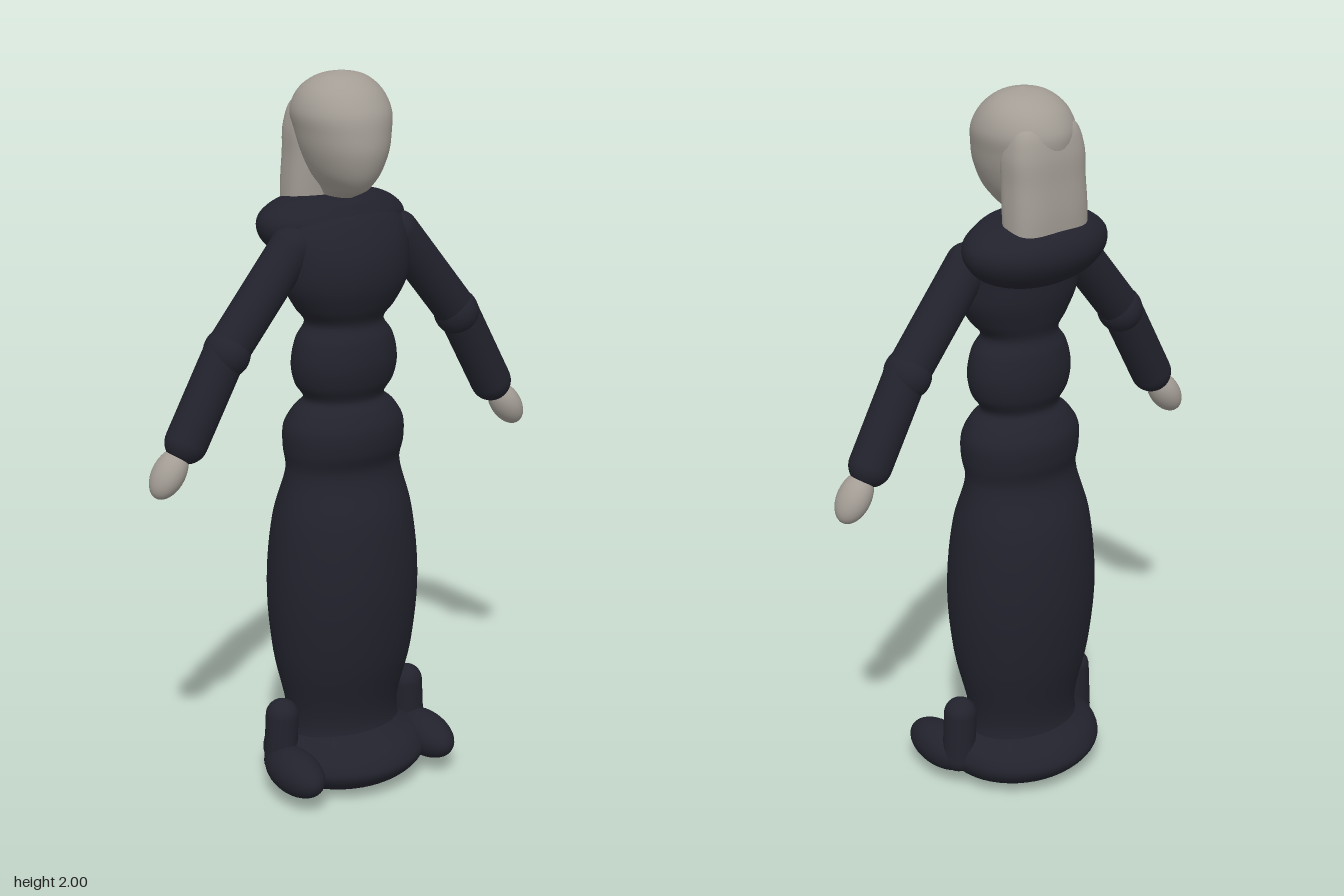
import * as THREE from 'three';

const robe = new THREE.MeshStandardMaterial({ color: 0x22222d });
robe.name = 'darkRobe';
const skin = new THREE.MeshStandardMaterial({ color: 0xa39d95 });
skin.name = 'paleStone';

function add(group, name, geometry, material) {
  const mesh = new THREE.Mesh(geometry, material);
  mesh.name = name;
  group.add(mesh);
  return mesh;
}

// Smooth closed loft; each ring is [y, halfWidth, frontZ, backZ]. Power above 2 squares the section.
function loft(rings, power = 2, steps = 6, sides = 48) {
  const widths = new THREE.CatmullRomCurve3(rings.map(r => new THREE.Vector3(r[1], r[0], 0)));
  const depths = new THREE.CatmullRomCurve3(rings.map(r => new THREE.Vector3(r[2], r[0], r[3])));
  const n = (rings.length - 1) * steps;
  const pos = [], index = [];
  const bend = v => Math.sign(v) * Math.abs(v) ** (2 / power);
  for (let i = 0; i <= n; i++) {
    const w = widths.getPoint(i / n), d = depths.getPoint(i / n);
    const mid = (d.x + d.z) / 2, half = Math.max((d.x - d.z) / 2, 0);
    for (let j = 0; j < sides; j++) {
      const a = j / sides * Math.PI * 2;
      pos.push(Math.max(w.x, 0) * bend(Math.sin(a)), w.y, mid + half * bend(Math.cos(a)));
      if (i < n) {
        const p = i * sides + j, q = i * sides + (j + 1) % sides;
        index.push(p, q, p + sides, q, q + sides, p + sides);
      }
    }
  }
  const g = new THREE.BufferGeometry();
  g.setAttribute('position', new THREE.Float32BufferAttribute(pos, 3));
  g.setIndex(index);
  g.computeVertexNormals();
  return g;
}

function ellipsoid(group, name, material, center, radii) {
  const m = add(group, name, new THREE.SphereGeometry(1, 32, 20), material);
  m.position.set(...center);
  m.scale.set(...radii);
  return m;
}

// Rounded limb between two points
function limb(group, name, a, b, radius) {
  const from = new THREE.Vector3(...a), to = new THREE.Vector3(...b);
  const dir = to.clone().sub(from);
  const m = add(group, name, new THREE.CapsuleGeometry(radius, dir.length(), 10, 28), robe);
  m.position.copy(from).add(to).multiplyScalar(0.5);
  m.quaternion.setFromUnitVectors(new THREE.Vector3(0, 1, 0), dir.normalize());
}

export function createModel() {
  const model = new THREE.Group();
  model.name = 'robedFigure';

  // Long skirt, hips, waist and chest
  add(model, 'robeBody', loft([
    [0.1, 0.19, 0.15, -0.16], [0.2, 0.165, 0.115, -0.14], [0.4, 0.203, 0.157, -0.178],
    [0.6, 0.218, 0.175, -0.195], [0.8, 0.2, 0.155, -0.175], [0.94, 0.167, 0.112, -0.128],
    [1.0, 0.174, 0.128, -0.138], [1.06, 0.172, 0.128, -0.138], [1.105, 0.145, 0.108, -0.115],
    [1.135, 0.116, 0.086, -0.092], [1.18, 0.142, 0.104, -0.108], [1.235, 0.152, 0.113, -0.115],
    [1.3, 0.138, 0.104, -0.106], [1.345, 0.112, 0.086, -0.09], [1.39, 0.145, 0.107, -0.1],
    [1.45, 0.178, 0.126, -0.113], [1.52, 0.187, 0.125, -0.115], [1.59, 0.187, 0.1, -0.12],
    [1.64, 0.15, 0.065, -0.12], [1.665, 0.001, -0.03, -0.032],
  ]), robe);

  // Thick rolled collar sitting low on the back
  add(model, 'collar', loft([
    [1.495, 0.001, -0.07, -0.072], [1.505, 0.1, 0.0, -0.13], [1.54, 0.178, 0.05, -0.182],
    [1.585, 0.211, 0.076, -0.207], [1.62, 0.21, 0.075, -0.205], [1.65, 0.18, 0.06, -0.185],
    [1.672, 0.125, 0.04, -0.145], [1.675, 0.001, -0.05, -0.052],
  ]), robe);

  // Spread hem
  add(model, 'hem', loft([
    [0.004, 0.001, 0.001, -0.001], [0.015, 0.12, 0.11, -0.11], [0.045, 0.205, 0.185, -0.185],
    [0.09, 0.235, 0.217, -0.217], [0.13, 0.222, 0.195, -0.198], [0.16, 0.18, 0.145, -0.155],
    [0.19, 0.14, 0.1, -0.11],
  ]), robe);

  // Head tapering to the chin, and short neck
  add(model, 'head', loft([
    [1.655, 0.001, 0.0, -0.06], [1.675, 0.035, 0.03, -0.1], [1.7, 0.052, 0.085, -0.11],
    [1.74, 0.082, 0.117, -0.13], [1.8, 0.108, 0.136, -0.15], [1.85, 0.12, 0.135, -0.158],
    [1.9, 0.127, 0.125, -0.16], [1.95, 0.108, 0.092, -0.132], [1.985, 0.066, 0.045, -0.08],
    [2.0, 0.001, -0.014, -0.016],
  ]), skin);

  // Hair falling straight behind the head
  add(model, 'hair', loft([
    [1.62, 0.118, -0.045, -0.17], [1.7, 0.118, -0.035, -0.172], [1.78, 0.115, -0.028, -0.167],
    [1.86, 0.113, -0.025, -0.161], [1.92, 0.09, -0.04, -0.14], [1.95, 0.001, -0.08, -0.082],
  ], 2.8), skin);

  for (const s of [1, -1]) {
    const side = s > 0 ? 'left' : 'right';

    // Sleeved arm and hand
    const arm = new THREE.Group();
    arm.name = side + 'Arm';
    model.add(arm);
    limb(arm, 'upperSleeve', [s * 0.165, 1.56, 0.005], [s * 0.365, 1.31, 0.005], 0.058);
    ellipsoid(arm, 'elbow', robe, [s * 0.362, 1.31, 0.005], [0.06, 0.065, 0.067]);
    limb(arm, 'lowerSleeve', [s * 0.37, 1.305, 0.005], [s * 0.486, 1.09, 0.005], 0.057);
    const hand = ellipsoid(arm, 'hand', skin, [s * 0.54, 1.015, 0.005], [0.042, 0.072, 0.048]);
    hand.rotation.z = s * 0.58;

    // Forward foot lobe and upright knob at the side of the hem
    ellipsoid(model, side + 'Foot', robe, [s * 0.217, 0.1, 0.085], [0.064, 0.062, 0.12]);
    limb(model, side + 'HemKnob', [s * 0.215, 0.1, 0.005], [s * 0.208, 0.237, 0.005], 0.046);
  }

  return model;
}
